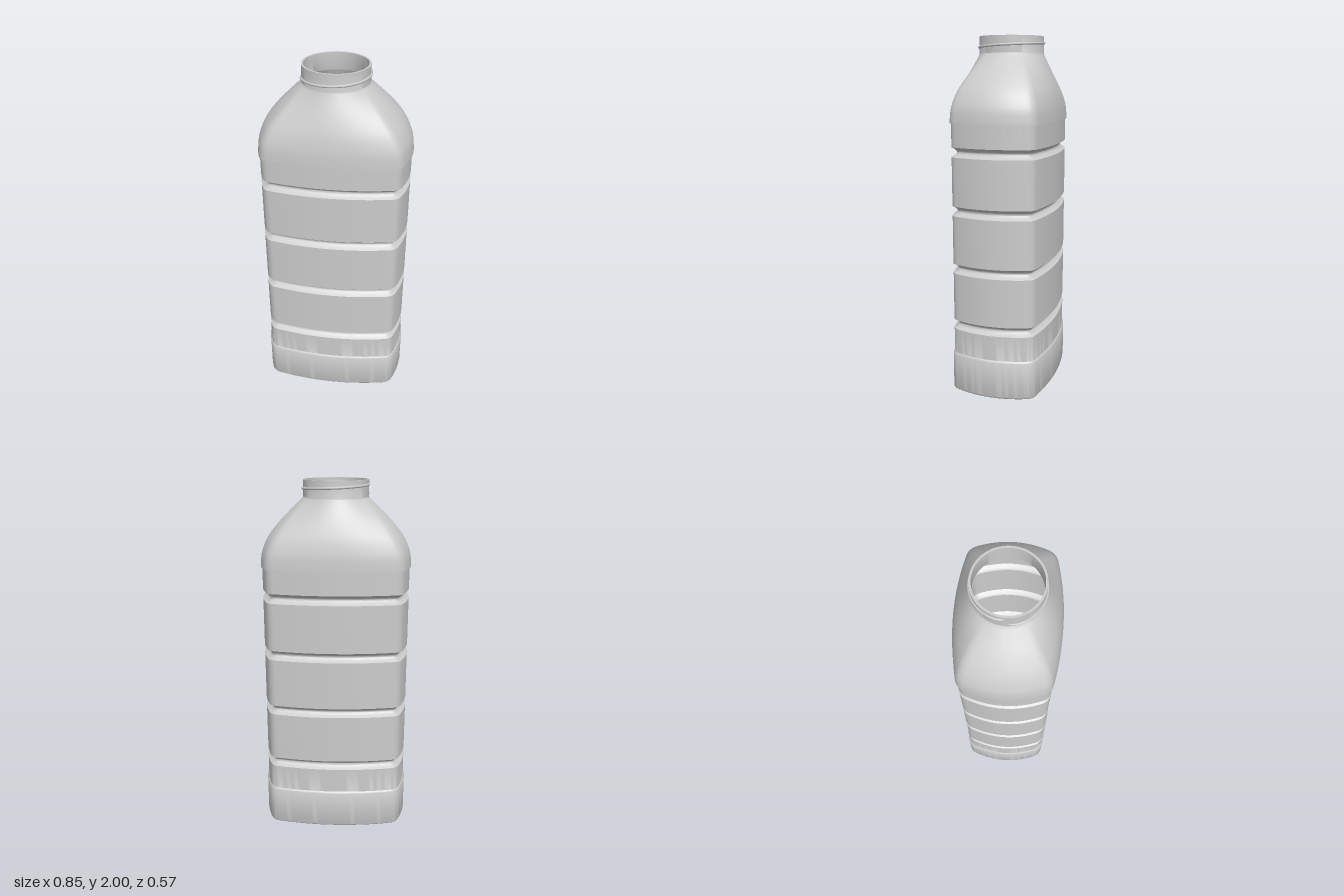
import * as THREE from 'three';
import { toCreasedNormals } from 'three/addons/utils/BufferGeometryUtils.js';

const NECK_R = 0.182, WALL = 0.011, INSET = -0.008;

// Bulged rectangle with soft corners, as points with outward normals (x, z plane)
function makeOutline() {
  const v = (x, z) => new THREE.Vector2(x, z);
  const quarter = [
    [v(0.387, -0.2), v(0.463, 0), v(0.387, 0.2), 24],
    [v(0.387, 0.2), v(0.372, 0.24), v(0.335, 0.248), 10],
    [v(0.335, 0.248), v(0, 0.322), v(-0.335, 0.248), 30],
    [v(-0.335, 0.248), v(-0.372, 0.24), v(-0.387, 0.2), 10],
  ];
  const out = [];
  for (const sign of [1, -1]) {
    for (const [a, b, c, n] of quarter) {
      const curve = new THREE.QuadraticBezierCurve(a, b, c);
      for (let i = 0; i < n; i++) {
        const p = curve.getPoint(i / n).multiplyScalar(sign);
        const t = curve.getTangent(i / n).multiplyScalar(sign);
        out.push({ p, n: v(t.y, -t.x), dir: p.clone().normalize() });
      }
    }
  }
  return out;
}

// Rows from the foot to the rim: y, offset along the normal, blend to round neck
function makeRows() {
  const rows = [];
  const add = (y, off, round = 0) => rows.push({ y, off, round, k: 1 });

  // Rounded foot and base band
  for (let i = 0; i <= 4; i++) {
    const a = (i / 4) * Math.PI / 2;
    add(0.018 * (1 - Math.cos(a)), -0.018 * (1 - Math.sin(a)));
  }
  add(0.216, 0);
  add(0.222, -0.003);
  add(0.228, INSET);

  // Four grip grooves
  for (const yc of [0.397, 1 + 0.053, 0.725, 1.378].sort((a, b) => a - b)) {
    for (let i = 0; i <= 10; i++) {
      const s = i / 10;
      add(yc + (s - 0.5) * 0.054, INSET - 0.03 * Math.sin(Math.PI * s));
    }
  }

  // Ledge and shoulder
  add(1.533, INSET);
  add(1.533, 0);
  const shoulder = new THREE.SplineCurve([
    [1.535, 0], [1.6, 0.03], [1.65, 0.1], [1.7, 0.21], [1.75, 0.37],
    [1.8, 0.56], [1.85, 0.77], [1.9, 0.98],
  ].map(([y, t]) => new THREE.Vector2(y, t)));
  for (const q of shoulder.getPoints(28)) add(q.x, 0, Math.max(0, q.y));

  // Neck
  add(1.907, 0, 1);
  add(2, 0, 1);
  return rows;
}

// Skin joining the outer wall, the rim and the inner wall
function makeShell() {
  const outline = makeOutline(), outer = makeRows();
  const inner = outer.filter(r => r.y > 0.02).reverse()
    .map(r => ({ ...r, off: r.off - WALL }));
  const rows = [
    { ...outer[0], k: 0 }, ...outer, ...inner,
    { y: 0.015, off: -0.02, round: 0, k: 1 }, { y: 0.015, off: 0, round: 0, k: 0 },
  ];
  const pos = [], index = [], n = outline.length;
  for (const { y, off, round, k } of rows) {
    for (const o of outline) {
      const p = o.p.clone().lerp(o.dir.clone().multiplyScalar(NECK_R), round);
      p.addScaledVector(o.n.clone().lerp(o.dir, round), off).multiplyScalar(k);
      pos.push(p.x, y, p.y);
    }
  }
  for (let i = 0; i < rows.length - 1; i++) {
    for (let j = 0; j < n; j++) {
      const a = i * n + j, b = i * n + (j + 1) % n;
      if (rows[i + 1].k) index.push(a, a + n, b + n);
      if (rows[i].k) index.push(a, b + n, b);
    }
  }
  const geo = new THREE.BufferGeometry();
  geo.setAttribute('position', new THREE.Float32BufferAttribute(pos, 3));
  geo.setIndex(index);
  return toCreasedNormals(geo, 0.6);
}

// One rising turn of screw thread, sinking into the neck at both ends
function makeThread() {
  const pts = [];
  for (let i = 0; i <= 48; i++) {
    const s = i / 48, a = Math.PI - s * Math.PI * 2;
    const r = NECK_R + 0.001 - 0.008 * Math.max(0, Math.abs(s - 0.5) * 2 - 0.94) / 0.06;
    pts.push(new THREE.Vector3(r * Math.cos(a), 1.925 + 0.05 * s, r * Math.sin(a)));
  }
  return new THREE.TubeGeometry(new THREE.CatmullRomCurve3(pts), 120, 0.007, 8);
}

export function createModel() {
  const group = new THREE.Group();
  group.name = 'bottle';
  const material = new THREE.MeshStandardMaterial({ color: 0xcccccc });
  const addPart = (name, geo) => {
    const mesh = new THREE.Mesh(geo, material);
    mesh.name = name;
    group.add(mesh);
  };
  addPart('bottleShell', makeShell());
  addPart('neckThread', makeThread());
  return group;
}
